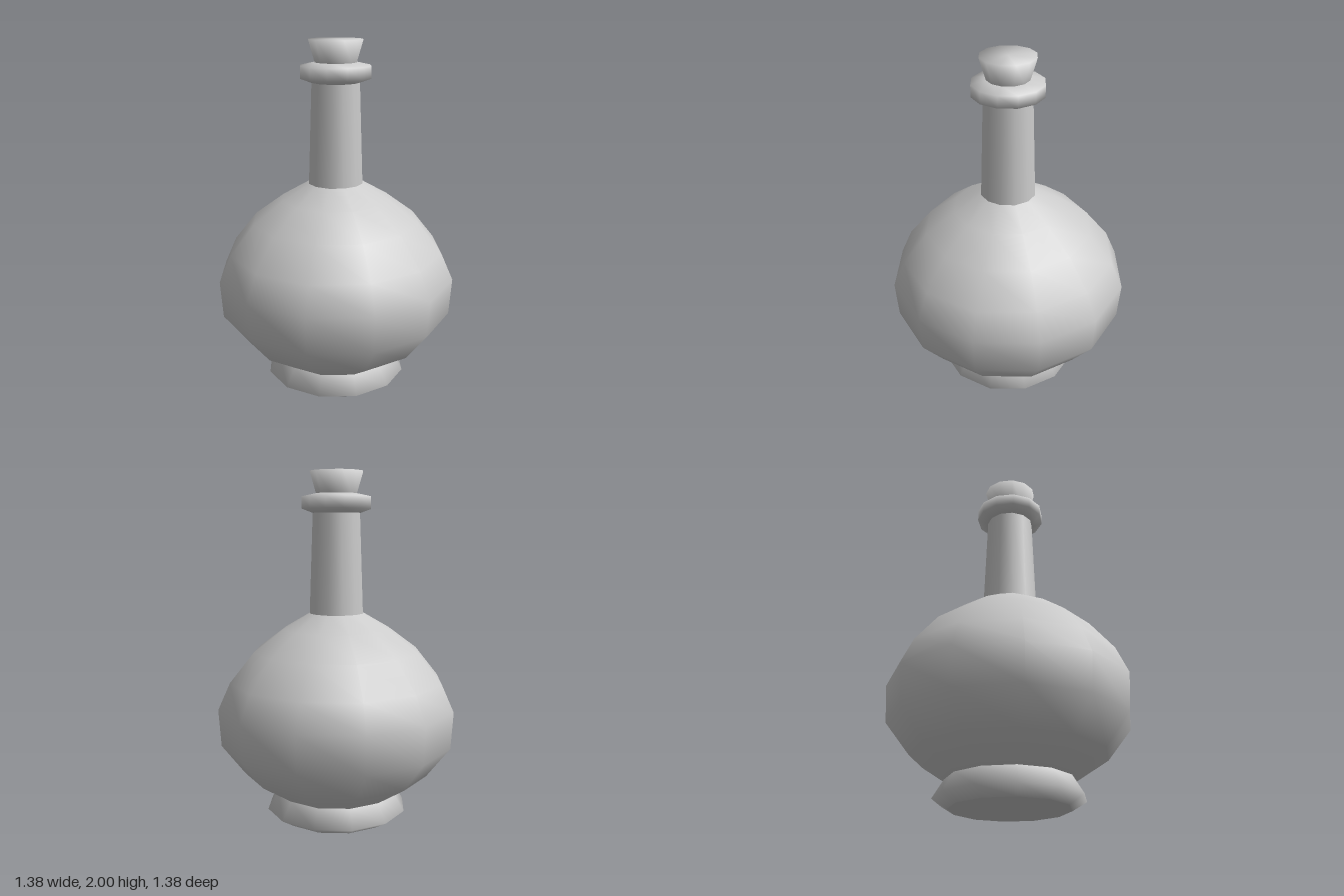
import * as THREE from 'three';

const SIDES = 12;
const material = new THREE.MeshStandardMaterial({ color: 0xcccccc });

// Turns a bottom-to-top profile of [radius, height] pairs around the y axis
function turned(name, profile) {
  const points = profile.map(([r, y]) => new THREE.Vector2(r, y));
  const mesh = new THREE.Mesh(new THREE.LatheGeometry(points, SIDES), material);
  mesh.name = name;
  return mesh;
}

export function createModel() {
  const bottle = new THREE.Group();
  bottle.name = 'bottle';

  // Each part is smooth in itself, with a hard edge where parts meet
  bottle.add(
    turned('baseUnderside', [[0, 0], [0.33, 0]]),
    turned('foot', [[0.33, 0], [0.412, 0.05], [0.35, 0.152]]),
    turned('body', [
      [0.35, 0.152], [0.54, 0.277], [0.675, 0.452], [0.689, 0.664],
      [0.62, 0.817], [0.483, 0.987], [0.312, 1.114], [0.157, 1.204],
    ]),
    turned('neck', [[0.157, 1.204], [0.137, 1.77]]),
    turned('collar', [[0.137, 1.77], [0.2, 1.793], [0.2, 1.86], [0.118, 1.878]]),
    turned('stopper', [[0.118, 1.878], [0.154, 2], [0, 2]]),
  );
  return bottle;
}
